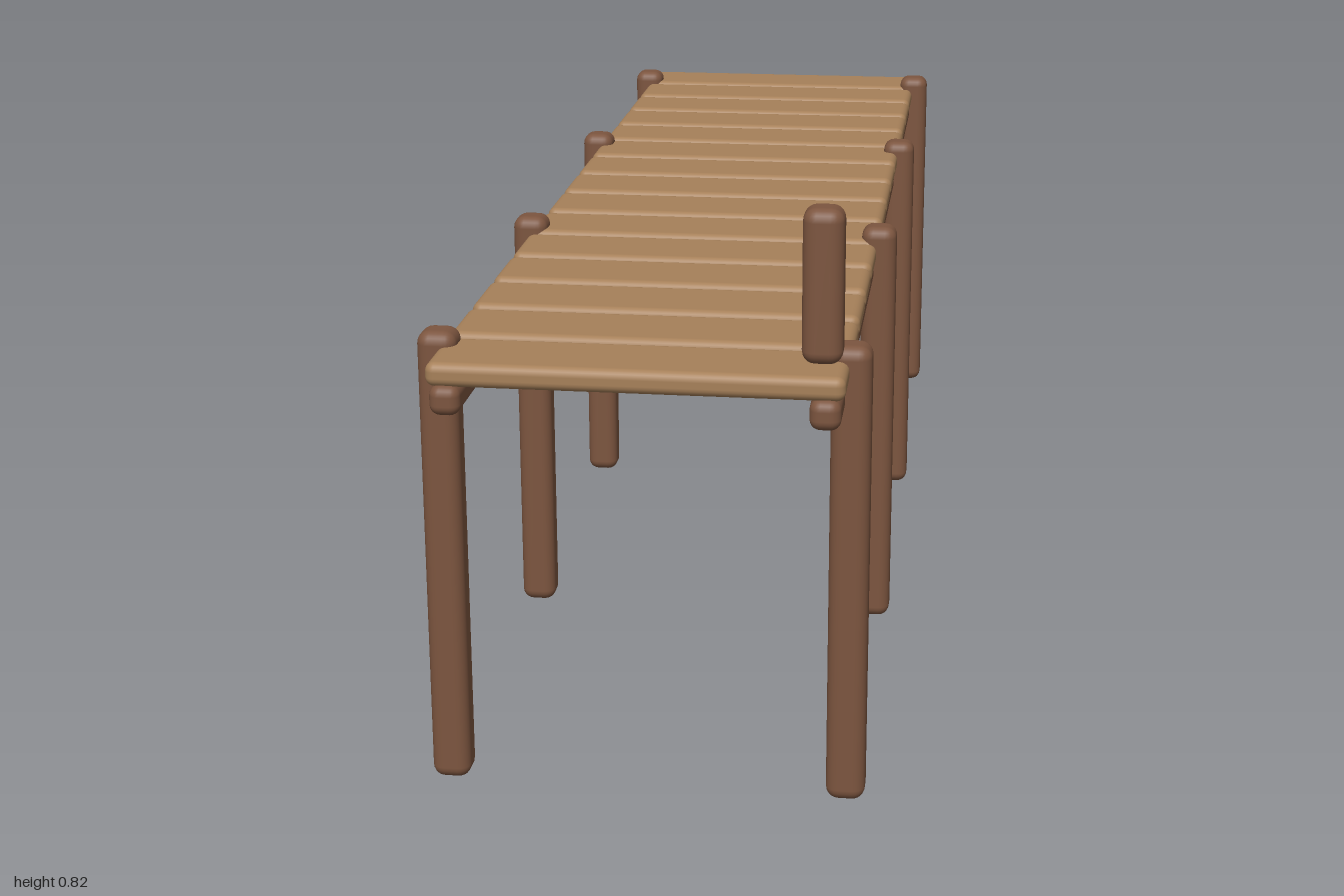
import * as THREE from 'three';
import { RoundedBoxGeometry } from 'three/addons/geometries/RoundedBoxGeometry.js';

export function createModel() {
  const pier = new THREE.Group();
  pier.name = 'pier';

  const darkWood = new THREE.MeshStandardMaterial({ color: 0x7c553f });
  darkWood.name = 'darkWood';
  const plankWood = new THREE.MeshStandardMaterial({ color: 0xa68059 });
  plankWood.name = 'plankWood';

  // Softly rounded timber, placed by its centre
  function timber(name, size, radius, material, x, y, z) {
    const mesh = new THREE.Mesh(new RoundedBoxGeometry(...size, 3, radius), material);
    mesh.name = name;
    mesh.position.set(x, y, z);
    pier.add(mesh);
  }

  for (const side of [-1, 1]) {
    const label = side > 0 ? 'left' : 'right';
    // Support posts standing on the ground
    [-0.9, -0.3, 0.3, 0.9].forEach((z, i) => {
      timber(`${label}Post${i + 1}`, [0.052, 0.632, 0.052], 0.017, darkWood, side * 0.267, 0.316, z);
    });
    // Long beam under the deck
    timber(`${label}Beam`, [0.04, 0.04, 2], 0.014, darkWood, side * 0.24, 0.565, 0);
  }

  // Deck planks, evenly spaced with narrow gaps
  const count = 15;
  for (let i = 0; i < count; i++) {
    const z = -0.935 + (1.87 * i) / (count - 1);
    timber(`plank${i + 1}`, [0.53, 0.032, 0.119], 0.012, plankWood, 0, 0.598, z);
  }

  // Short mooring post on the front left corner
  timber('mooringPost', [0.052, 0.2, 0.052], 0.017, darkWood, 0.232, 0.717, 0.933);

  return pier;
}
